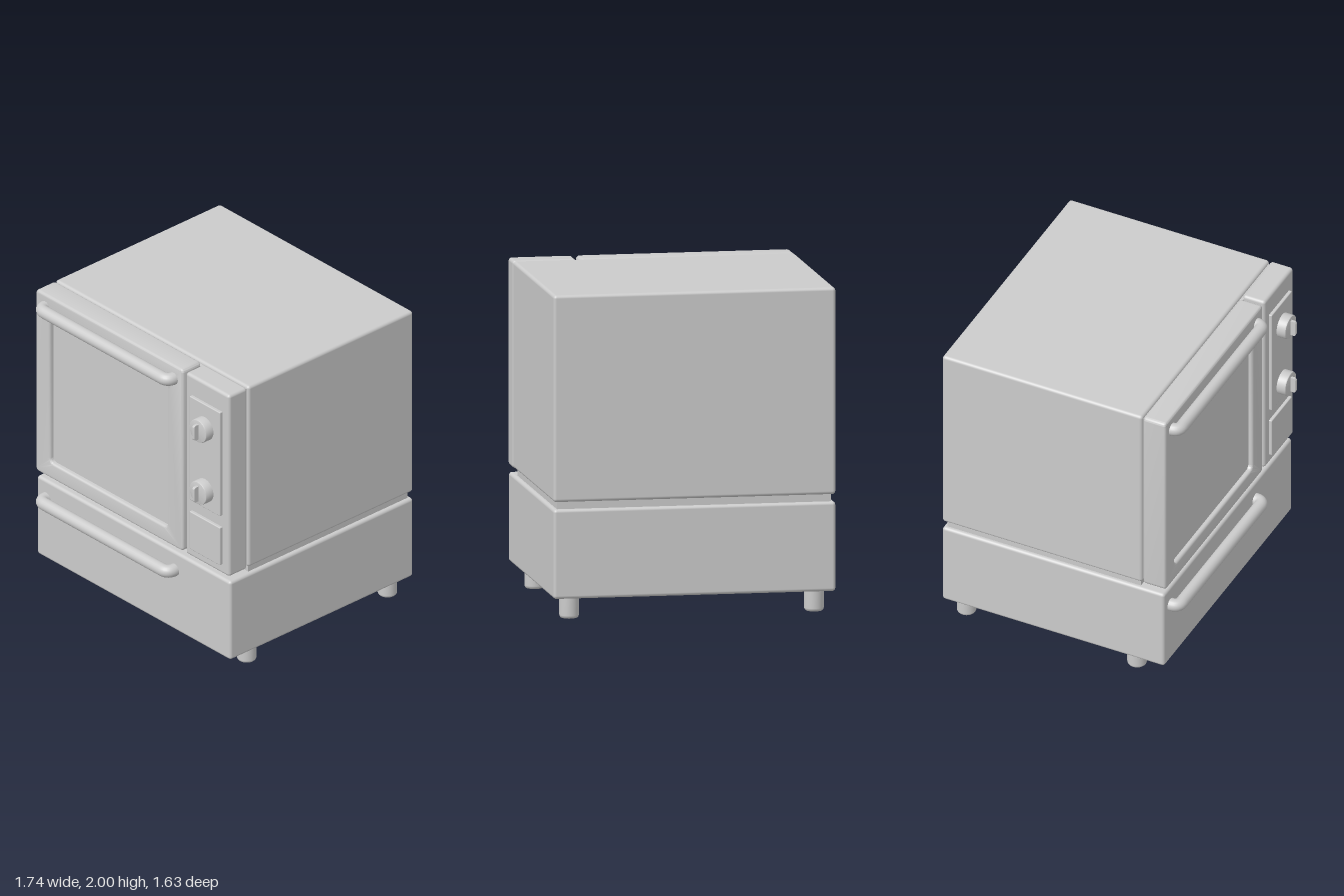
import * as THREE from 'three';
import { RoundedBoxGeometry } from 'three/addons/geometries/RoundedBoxGeometry.js';
import { toCreasedNormals } from 'three/addons/utils/BufferGeometryUtils.js';

const material = new THREE.MeshStandardMaterial({ color: 0xcccccc });

export function createModel() {
  const model = new THREE.Group();

  function add(name, geometry, x = 0, y = 0, z = 0, parent = model) {
    const mesh = new THREE.Mesh(geometry, material);
    mesh.name = name;
    mesh.position.set(x, y, z);
    parent.add(mesh);
    return mesh;
  }

  // Rounded box given by its extents along each axis
  function box(name, [x0, x1], [y0, y1], [z0, z1], r = 0.02) {
    const size = [x1 - x0, y1 - y0, z1 - z0];
    const geometry = r > 0 ? new RoundedBoxGeometry(...size, 3, r) : new THREE.BoxGeometry(...size);
    return add(name, geometry, (x0 + x1) / 2, (y0 + y1) / 2, (z0 + z1) / 2);
  }

  function roundedRect(path, x0, x1, y0, y1, r) {
    path.moveTo(x0 + r, y0);
    path.lineTo(x1 - r, y0);
    path.absarc(x1 - r, y0 + r, r, -Math.PI / 2, 0, false);
    path.lineTo(x1, y1 - r);
    path.absarc(x1 - r, y1 - r, r, 0, Math.PI / 2, false);
    path.lineTo(x0 + r, y1);
    path.absarc(x0 + r, y1 - r, r, Math.PI / 2, Math.PI, false);
    path.lineTo(x0, y0 + r);
    path.absarc(x0 + r, y0 + r, r, Math.PI, Math.PI * 1.5, false);
    return path;
  }

  // Main casing, recessed neck and drawer base
  box('ovenBody', [-0.87, 0.87], [0.73, 2], [-0.815, 0.54]);
  box('neck', [-0.845, 0.845], [0.66, 0.76], [-0.79, 0.52], 0);
  box('doorSeal', [-0.85, 0.85], [0.75, 1.98], [0.5, 0.56], 0);
  box('drawerBase', [-0.87, 0.87], [0.135, 0.685], [-0.815, 0.69]);

  // Door frame with a bevelled window opening
  const frame = roundedRect(new THREE.Shape(), -0.87, 0.455, 0.725, 2, 0.025);
  frame.holes.push(roundedRect(new THREE.Path(), -0.74, 0.315, 0.835, 1.84, 0.03));
  const bevel = 0.016;
  const frameGeometry = new THREE.ExtrudeGeometry(frame, {
    depth: 0.152 - 2 * bevel, bevelEnabled: true, bevelThickness: bevel,
    bevelSize: bevel, bevelOffset: -bevel, bevelSegments: 4, curveSegments: 6,
  });
  add('doorFrame', toCreasedNormals(frameGeometry, 0.6), 0, 0, 0.548 + bevel);
  box('doorWindow', [-0.765, 0.34], [0.81, 1.865], [0.56, 0.67], 0);

  // Control panel with its raised plates
  box('controlPanel', [0.478, 0.87], [0.725, 2], [0.548, 0.7]);
  box('knobPlate', [0.535, 0.81], [1.135, 1.865], [0.68, 0.72], 0.006);
  box('lowerPlate', [0.535, 0.81], [0.79, 1.055], [0.68, 0.72], 0.006);

  // Knobs with a thin grip
  const knobProfile = [[0, 0], [0.077, 0], [0.077, 0.057], [0.074, 0.063], [0.068, 0.065], [0, 0.065]]
    .map(([r, h]) => new THREE.Vector2(r, h));
  const knobGeometry = toCreasedNormals(new THREE.LatheGeometry(knobProfile, 40), 0.7);
  knobGeometry.rotateX(Math.PI / 2);
  for (const y of [1.7, 1.265]) {
    const knob = new THREE.Group();
    knob.name = 'knob';
    knob.position.set(0.675, y, 0.715);
    model.add(knob);
    add('knobDial', knobGeometry, 0, 0, 0, knob);
    // Side outline of the grip, extruded to its small thickness
    const grip = new THREE.ExtrudeGeometry(
      roundedRect(new THREE.Shape(), -0.1, -0.03, -0.052, 0.052, 0.015),
      { depth: 0.018, bevelEnabled: false, curveSegments: 6 });
    grip.rotateY(Math.PI / 2);
    add('knobGrip', toCreasedNormals(grip, 0.6), -0.009, 0, 0, knob);
  }

  // Bar handles that bend back into the front
  function handle(name, y, zFront) {
    const x0 = -0.785, x1 = 0.37, z = 0.745, bend = 0.05;
    const path = new THREE.CurvePath();
    const v = (x, zz) => new THREE.Vector3(x, y, zz);
    path.add(new THREE.LineCurve3(v(x0, zFront - 0.03), v(x0, z - bend)));
    path.add(new THREE.QuadraticBezierCurve3(v(x0, z - bend), v(x0, z), v(x0 + bend, z)));
    path.add(new THREE.LineCurve3(v(x0 + bend, z), v(x1 - bend, z)));
    path.add(new THREE.QuadraticBezierCurve3(v(x1 - bend, z), v(x1, z), v(x1, z - bend)));
    path.add(new THREE.LineCurve3(v(x1, z - bend), v(x1, zFront - 0.03)));
    add(name, new THREE.TubeGeometry(path, 160, 0.04, 20));
  }
  handle('doorHandle', 1.91, 0.7);
  handle('drawerHandle', 0.56, 0.69);

  // Feet with rounded lower edges
  const footProfile = [[0, 0], [0.04, 0], [0.05, 0.003], [0.057, 0.01], [0.06, 0.02], [0.06, 0.15]]
    .map(([r, h]) => new THREE.Vector2(r, h));
  const footGeometry = new THREE.LatheGeometry(footProfile, 28);
  for (const x of [-0.755, 0.755]) {
    for (const z of [0.45, -0.705]) add('foot', footGeometry, x, 0.003, z);
  }

  return model;
}
